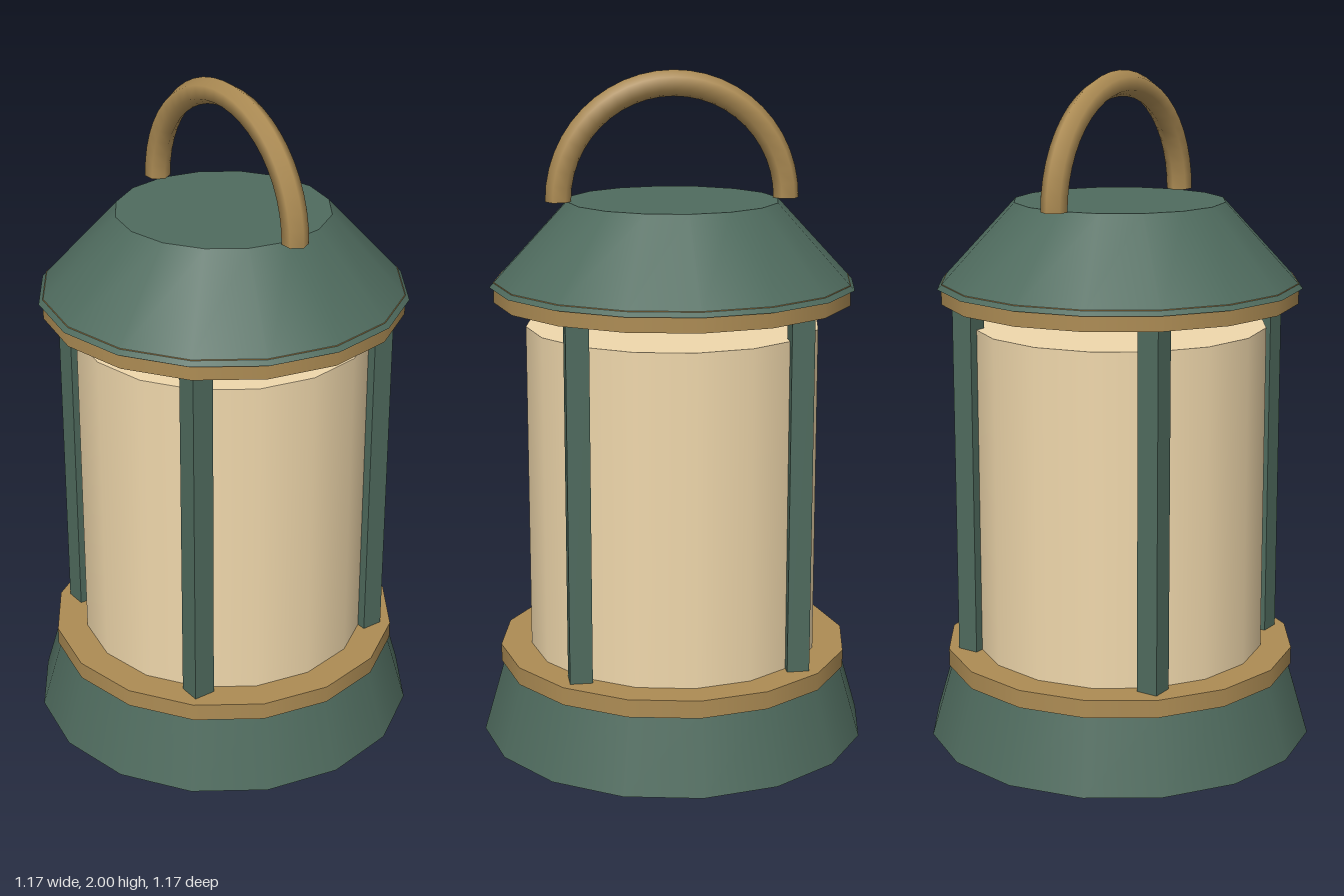
import * as THREE from 'three';

const SIDES = 16;
const green = new THREE.MeshStandardMaterial({ color: 0x4f6b5e });
const brass = new THREE.MeshStandardMaterial({ color: 0xad8c54 });
const cream = new THREE.MeshStandardMaterial({ color: 0xf0d8ac });

export function createModel() {
  const lantern = new THREE.Group();
  lantern.name = 'lantern';

  const add = (name, geometry, material, x = 0, y = 0, z = 0) => {
    const mesh = new THREE.Mesh(geometry, material);
    mesh.name = name;
    mesh.position.set(x, y, z);
    lantern.add(mesh);
    return mesh;
  };
  // Round part between two heights
  const drum = (name, rBottom, rTop, y0, y1, material) =>
    add(name, new THREE.CylinderGeometry(rTop, rBottom, y1 - y0, SIDES), material, 0, (y0 + y1) / 2, 0);

  // Body, from the ground up
  drum('base', 0.585, 0.52, 0, 0.225, green);
  drum('lowerBand', 0.53, 0.53, 0.22, 0.273, brass);
  drum('globe', 0.437, 0.437, 0.26, 1.26, cream);
  drum('upperBand', 0.53, 0.53, 1.334, 1.394, brass);
  drum('roof', 0.542, 0.313, 1.379, 1.626, green);

  // Four square posts around the globe
  for (const [sx, sz, name] of [[1, 1, 'frontLeftPost'], [-1, 1, 'frontRightPost'], [1, -1, 'backLeftPost'], [-1, -1, 'backRightPost']]) {
    add(name, new THREE.BoxGeometry(0.066, 1.08, 0.066), green, sx * 0.32, 0.805, sz * 0.32);
  }

  // Carrying handle: a half ring of hexagonal section with closed ends
  const ring = 0.337, tube = 0.038, top = 1.626;
  add('handle', new THREE.TorusGeometry(ring, tube, 6, 24, Math.PI), brass, 0, top, 0);
  for (const side of [1, -1]) {
    const end = add(side > 0 ? 'leftHandleEnd' : 'rightHandleEnd', new THREE.CircleGeometry(tube, 6), brass, side * ring, top, 0);
    end.rotation.x = Math.PI / 2;
  }
  return lantern;
}
